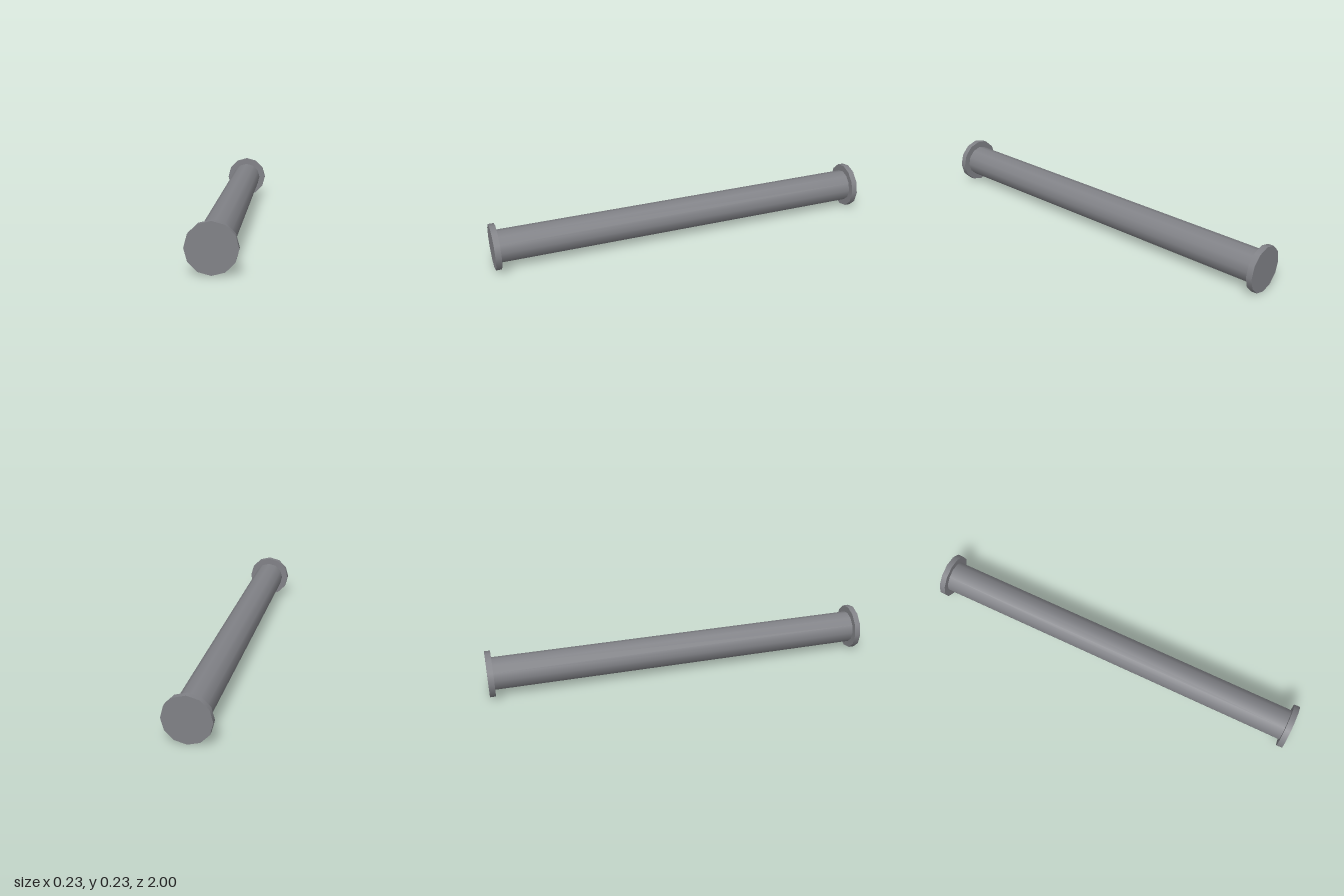
import * as THREE from 'three';

export function createModel() {
  const group = new THREE.Group();
  const steel = new THREE.MeshStandardMaterial({ color: 0x808186 });
  steel.name = 'grey steel';

  const flangeRadius = 0.117, flangeDepth = 0.03, pipeRadius = 0.083, sides = 12;

  // Twelve-sided cylinder lying along z
  function addCylinder(name, radius, length, z, openEnded) {
    const geometry = new THREE.CylinderGeometry(radius, radius, length, sides, 1, openEnded);
    geometry.rotateX(Math.PI / 2);
    const mesh = new THREE.Mesh(geometry, steel);
    mesh.name = name;
    mesh.position.set(0, flangeRadius, z);
    group.add(mesh);
  }

  // Long pipe between the inner flange faces
  addCylinder('pipe', pipeRadius, 2 - 2 * flangeDepth, 0, true);

  // Closed flange at each end
  addCylinder('frontFlange', flangeRadius, flangeDepth, 1 - flangeDepth / 2, false);
  addCylinder('backFlange', flangeRadius, flangeDepth, -1 + flangeDepth / 2, false);

  return group;
}
